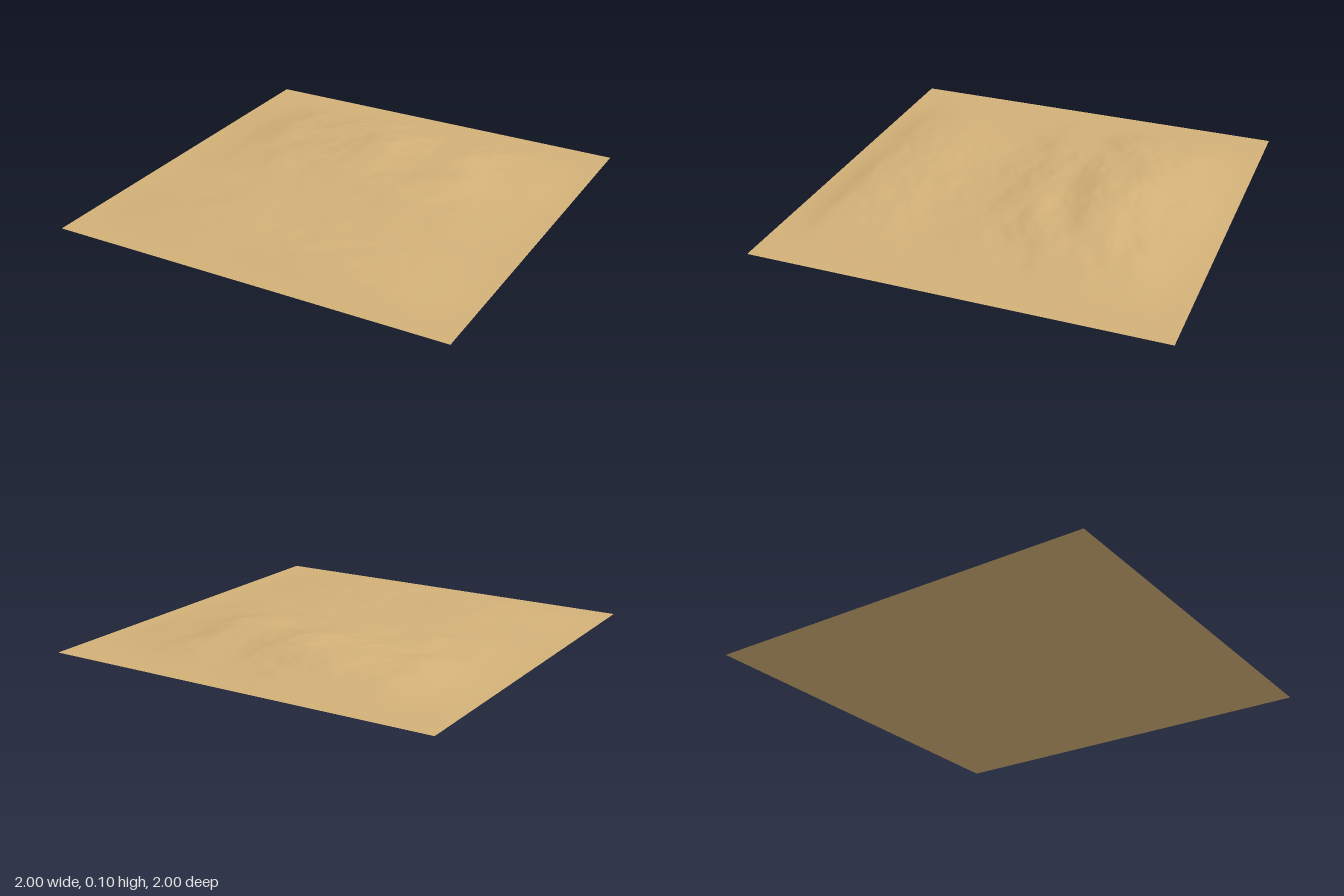
import * as THREE from 'three';

// Heights sampled every 0.1 or 0.2 from -1 to 1, joined with a smooth cubic.
function profile(values) {
  const n = values.length - 1;
  const at = (i) => values[THREE.MathUtils.clamp(i, 0, n)];
  return (t) => {
    const f = THREE.MathUtils.clamp((t + 1) / 2, 0, 1) * n;
    const i = Math.min(Math.floor(f), n - 1), u = f - i;
    const a = at(i - 1), b = at(i), c = at(i + 1), d = at(i + 2);
    return b + 0.5 * u * (c - a + u * (2 * a - 5 * b + 4 * c - d + u * (3 * (b - c) + d - a)));
  };
}

// Seeded value noise, about -1..1
function hash(x, y) {
  let h = (Math.imul(x, 374761393) + Math.imul(y, 668265263) + 1013) | 0;
  h = Math.imul(h ^ (h >>> 13), 1274126177);
  return ((h ^ (h >>> 16)) >>> 0) / 2147483648 - 1;
}
function noise(x, y) {
  const i = Math.floor(x), j = Math.floor(y);
  const s = (t) => t * t * t * (t * (6 * t - 15) + 10);
  const u = s(x - i), v = s(y - j), mix = THREE.MathUtils.lerp;
  return mix(mix(hash(i, j), hash(i + 1, j), u), mix(hash(i, j + 1), hash(i + 1, j + 1), u), v);
}
function ripples(x, z) {
  // Turned a little so the folds run diagonally
  const a = x * 0.92 - z * 0.38, b = x * 0.38 + z * 0.92;
  let sum = 0;
  for (let o = 0, amp = 0.5, f = 4; o < 4; o++, amp *= 0.46, f *= 2) {
    sum += amp * noise(a * f + o * 7.3, b * f * 1.5 + o * 3.1);
  }
  return sum;
}

// Cross-sections: back hill and front ridge across x, whole dune along z
const backAcross = profile([0, 0.08, 0.2, 0.38, 0.56, 0.66, 0.75, 0.84, 0.92, 1, 0.96,
  0.84, 0.74, 0.74, 0.72, 0.6, 0.45, 0.3, 0.17, 0.05, 0]);
const frontAcross = profile([0, 0.1, 0.28, 0.5, 0.68, 0.82, 0.92, 0.97, 1, 1, 1,
  1, 1, 0.98, 0.92, 0.82, 0.68, 0.48, 0.25, 0.08, 0]);
const along = profile([0, 0.011, 0.034, 0.062, 0.082, 0.097, 0.097, 0.084, 0.067, 0.065, 0.056,
  0.042, 0.033, 0.03, 0.035, 0.042, 0.046, 0.046, 0.036, 0.013, 0]);

function height(x, z) {
  const blend = THREE.MathUtils.smoothstep(z, -0.35, 0.3);
  const across = THREE.MathUtils.lerp(backAcross(x), frontAcross(x), blend);
  const base = Math.max(0, across * along(z));
  // Extra fold on the right shoulder
  const d = z + 0.2 + 0.35 * (x - 0.4);
  const fold = 0.012 * Math.exp(-((x - 0.4) ** 2) / 0.04 - d * d / 0.006);
  const rough = 0.016 * THREE.MathUtils.smoothstep(base, 0, 0.07);
  return Math.max(0, base + fold + rough * ripples(x, z));
}

export function createModel() {
  const group = new THREE.Group();
  group.name = 'sandDune';

  // Flat sheet raised into rolling sand
  const geometry = new THREE.PlaneGeometry(2, 2, 160, 160).rotateX(-Math.PI / 2);
  const p = geometry.attributes.position;
  for (let i = 0; i < p.count; i++) p.setY(i, height(p.getX(i), p.getZ(i)));
  geometry.computeVertexNormals();

  const sand = new THREE.MeshStandardMaterial({ color: 0xd2b077, side: THREE.DoubleSide });
  const terrain = new THREE.Mesh(geometry, sand);
  terrain.name = 'sandSurface';
  group.add(terrain);
  return group;
}
